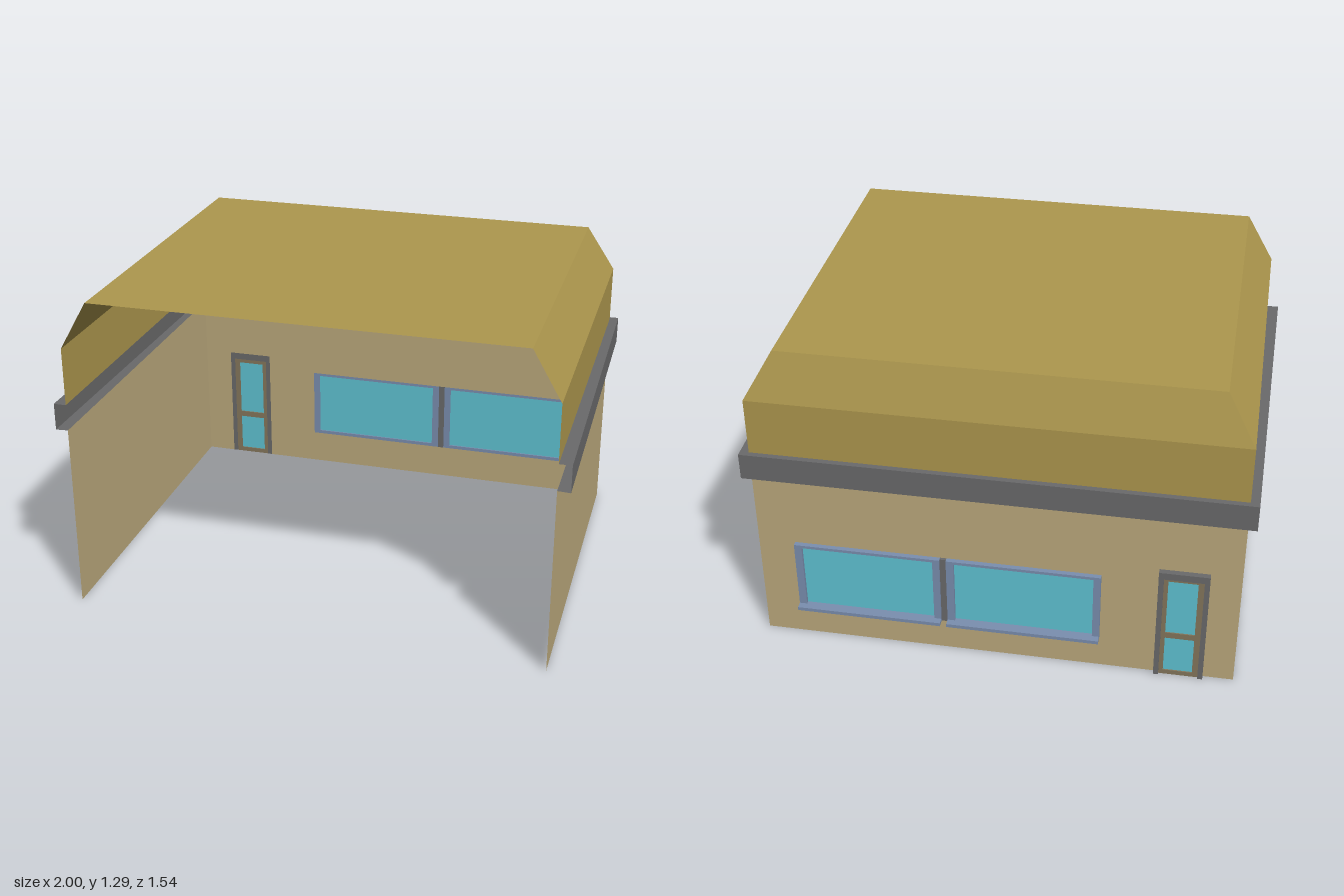
import * as THREE from 'three';

const mat = (name, color) => {
  const m = new THREE.MeshStandardMaterial({ color, side: THREE.DoubleSide });
  m.name = name;
  return m;
};

const FRONT = 0.768, BACK = -0.722;

// Sheet wrapped round the left, back and right sides; each row is [y, half width at front, at back, back z]
function wrap(rows) {
  const pos = [];
  const loops = rows.map(([y, wf, wb, zb]) => [
    [-wf, y, FRONT], [-wb, y, zb], [wb, y, zb], [wf, y, FRONT],
  ]);
  for (let r = 0; r < loops.length - 1; r++) {
    for (let i = 0; i < 3; i++) {
      const a = loops[r][i], b = loops[r][i + 1], c = loops[r + 1][i + 1], d = loops[r + 1][i];
      for (const p of [a, c, b, a, d, c]) pos.push(...p);
    }
  }
  const g = new THREE.BufferGeometry();
  g.setAttribute('position', new THREE.Float32BufferAttribute(pos, 3));
  g.computeVertexNormals();
  return g;
}

// Rectangle outline from opposite corners
function rect(x0, y0, x1, y1, Type = THREE.Shape) {
  const s = new Type();
  s.moveTo(x0, y0).lineTo(x1, y0).lineTo(x1, y1).lineTo(x0, y1).closePath();
  return s;
}

function withHoles(outer, holes) {
  const s = rect(...outer);
  for (const h of holes) s.holes.push(rect(...h, THREE.Path));
  return s;
}

export function createModel() {
  const group = new THREE.Group();
  const wallMat = mat('tan wall', 0xbcaa7d);
  const roofMat = mat('ochre roof', 0xae984e);
  const trimMat = mat('grey trim', 0x6a6a6b);
  const glassMat = mat('blue glass', 0x60c4d4);
  const frameMat = mat('slate blue frame', 0x7b8fb0);
  const leafMat = mat('brown door', 0x85775c);

  const add = (name, geometry, material, x = 0, y = 0, z = 0, parent = group) => {
    const m = new THREE.Mesh(geometry, material);
    m.name = name;
    m.position.set(x, y, z);
    parent.add(m);
    return m;
  };
  const box = (name, x0, y0, z0, x1, y1, z1, material, parent) =>
    add(name, new THREE.BoxGeometry(x1 - x0, y1 - y0, z1 - z0), material,
      (x0 + x1) / 2, (y0 + y1) / 2, (z0 + z1) / 2, parent);
  const extruded = (name, shape, z0, z1, material, parent) =>
    add(name, new THREE.ExtrudeGeometry(shape, { depth: z1 - z0, bevelEnabled: false }),
      material, 0, 0, z0, parent);
  const pane = (name, r, z, parent) => add(name, new THREE.ShapeGeometry(rect(...r)), glassMat, 0, 0, z, parent);

  // Openings as [x0, y0, x1, y1]
  const windows = [[-0.415, 0.145, 0.192, 0.455], [0.218, 0.145, 0.802, 0.455]];
  const door = [-0.83, 0, -0.635, 0.515];

  // Walls: two plain sides, and a back with openings; the front is open
  for (const s of [-1, 1]) {
    const side = add(s < 0 ? 'rightWall' : 'leftWall',
      new THREE.PlaneGeometry(FRONT - BACK, 0.76), wallMat, s * 0.95, 0.38, (FRONT + BACK) / 2);
    side.rotation.y = s * Math.PI / 2;
  }
  const wallShape = new THREE.Shape();
  [[-0.95, 0], [door[0], 0], [door[0], door[3]], [door[2], door[3]], [door[2], 0], [0.95, 0], [0.95, 0.76], [-0.95, 0.76]]
    .forEach(([x, y], i) => (i ? wallShape.lineTo(x, y) : wallShape.moveTo(x, y)));
  for (const w of windows) wallShape.holes.push(rect(...w, THREE.Path));
  add('backWall', new THREE.ShapeGeometry(wallShape), wallMat, 0, 0, BACK);

  // Hollow cornice, open towards the inside
  add('cornice', wrap([
    [0.76, 0.95, 0.95, BACK],
    [0.758, 1.0, 0.985, -0.745],
    [0.867, 1.0, 0.985, -0.745],
    [0.867, 0.95, 0.95, BACK],
  ]), trimMat);

  // Roof shell with sloped shoulders and a flat top
  add('roofSides', wrap([
    [0.867, 0.95, 0.95, BACK],
    [1.1, 0.95, 0.95, BACK],
    [1.295, 0.838, 0.838, -0.665],
  ]), roofMat);
  const top = add('roofTop', new THREE.PlaneGeometry(1.676, FRONT + 0.665), roofMat, 0, 1.295, (FRONT - 0.665) / 2);
  top.rotation.x = -Math.PI / 2;

  // Windows with frame, glass and projecting sill
  windows.forEach((w, i) => {
    const g = new THREE.Group();
    g.name = 'window' + (i + 1);
    group.add(g);
    const [x0, y0, x1, y1] = w;
    const hole = [x0 + 0.028, y0 + 0.015, x1 - 0.03, y1 - 0.012];
    extruded('windowFrame', withHoles(w, [hole]), -0.742, BACK, frameMat, g);
    pane('windowGlass', hole, -0.728, g);
    box('windowSill', x0, y0, -0.77, x1, y0 + 0.015, -0.742, frameMat, g);
  });
  box('mullion', 0.192, 0.145, -0.734, 0.218, 0.455, -0.721, trimMat);

  // Door with surround, leaf and two panes
  const doorGroup = new THREE.Group();
  doorGroup.name = 'door';
  group.add(doorGroup);
  box('doorJamb', -0.83, 0, -0.742, -0.81, 0.485, BACK, trimMat, doorGroup);
  box('doorJamb', -0.655, 0, -0.742, -0.635, 0.485, BACK, trimMat, doorGroup);
  box('doorHead', -0.83, 0.485, -0.745, -0.635, 0.515, BACK, trimMat, doorGroup);
  const panes = [[-0.787, 0.02, -0.672, 0.187], [-0.787, 0.213, -0.672, 0.468]];
  extruded('doorLeaf', withHoles([-0.81, 0, -0.655, 0.485], panes), -0.733, -0.723, leafMat, doorGroup);
  for (const p of panes) pane('doorGlass', p, -0.728, doorGroup);

  return group;
}
